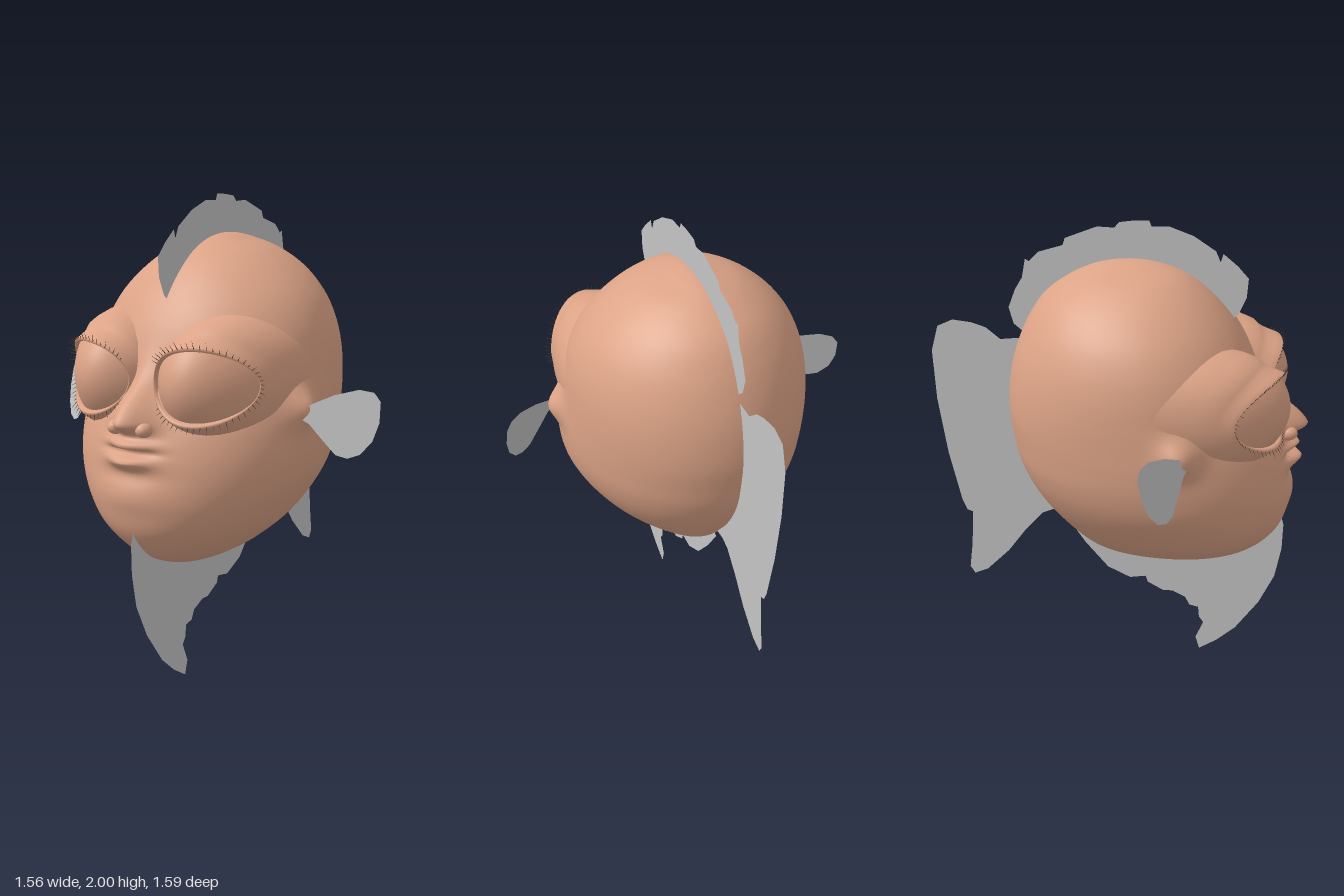
import * as THREE from 'three';
import { mergeGeometries } from 'three/addons/utils/BufferGeometryUtils.js';

const V = (x, y, z) => new THREE.Vector3(x, y, z);
const bell = (v, centre, width) => Math.exp(-(((v - centre) / width) ** 2));

// Smooth skin over closed rings of equal length
function loft(rings) {
  const n = rings[0].length, pos = [], index = [];
  rings.forEach(r => r.forEach(p => pos.push(p.x, p.y, p.z)));
  for (let i = 0; i < rings.length - 1; i++) {
    for (let j = 0; j < n; j++) {
      const k = (j + 1) % n, a = i * n, b = a + n;
      index.push(a + j, b + j, b + k, a + j, b + k, a + k);
    }
  }
  const g = new THREE.BufferGeometry();
  g.setAttribute('position', new THREE.Float32BufferAttribute(pos, 3));
  g.setIndex(index);
  g.computeVertexNormals();
  return g;
}

// Copy a part to the other side of x = 0 and restore the winding
function mirrored(geometry) {
  const g = geometry.clone().scale(-1, 1, 1), ix = g.index.array;
  for (let i = 0; i < ix.length; i += 3) [ix[i], ix[i + 1]] = [ix[i + 1], ix[i]];
  g.computeVertexNormals();
  return g;
}

// Flat outline placed in space by a rule
function sheet(points, place) {
  const g = new THREE.ShapeGeometry(new THREE.Shape(points.map(p => new THREE.Vector2(...p))));
  const p = g.attributes.position;
  for (let i = 0; i < p.count; i++) p.setXYZ(i, ...place(p.getX(i), p.getY(i)));
  g.computeVertexNormals();
  return g;
}

// Horizontal head sections: height, front z, back z, half width
const SECTIONS = [
  [1.843, .05, .05, 0], [1.838, .12, -.02, .035], [1.82, .2, -.1, .1], [1.78, .29, -.19, .215],
  [1.7, .39, -.3, .33], [1.6, .475, -.37, .42], [1.5, .535, -.415, .47], [1.4, .575, -.445, .495],
  [1.3, .605, -.46, .505], [1.2, .655, -.463, .51], [1.1, .70, -.45, .512], [1, .727, -.43, .505],
  [.9, .738, -.39, .48], [.8, .735, -.33, .43], [.7, .705, -.25, .355], [.6, .62, -.16, .235],
  [.55, .53, -.09, .155], [.51, .4, .02, .075], [.49, .28, .12, .03], [.485, .2, .2, 0],
];

function headGeometry() {
  const outline = new THREE.CatmullRomCurve3(SECTIONS.map(s => V(s[1], s[0], s[2])));
  const widths = new THREE.CatmullRomCurve3(SECTIONS.map(s => V(s[3], s[0], 0)));
  const rings = [], rows = 220, cols = 144;
  for (let i = 0; i <= rows; i++) {
    const { x: front, y, z: back } = outline.getPoint(i / rows);
    const w = Math.max(0, widths.getPoint(i / rows).x);
    const mid = back + .55 * (front - back), ring = [];
    for (let j = 0; j < cols; j++) {
      const a = j / cols * Math.PI * 2, c = Math.cos(a);
      let x = w * Math.sin(a);
      let z = mid + c * (c > 0 ? front - mid : mid - back);
      if (c > 0) {
        // nose: narrow bridge widening to a rounded tip with a short underside
        const ridge = y > 1.155 ? bell(y, 1.155, .14) : bell(y, 1.155, .045);
        z += .122 * ridge * bell(x, 0, y > 1.155 ? .05 + .03 * bell(y, 1.155, .1) : .08);
        // lips, mouth line and the fold over the chin
        z += (.055 * bell(y, 1.065, .02) + .055 * bell(y, 1.002, .028)
          - .03 * bell(y, 1.036, .012)) * bell(x, 0, .09);
        z += (.012 * bell(y, .86, .06) - .008 * bell(y, .94, .03)) * bell(x, 0, .15);
      }
      // swelling where the side fins root
      x += Math.sign(x) * .055 * bell(y, 1.19, .075) * bell(z, .28, .075) * (Math.abs(x) > .3 ? 1 : 0);
      ring.push(V(x, y, z));
    }
    rings.push(ring);
  }
  return loft(rings);
}

// Left eye: the opening is an ellipse wrapped back around the face
const EYE = { x: .255, y: 1.3, a: .19, b: .138 };
const eyeDepth = dx => .65 - .075 * (dx / EYE.a) - .105 * (dx / EYE.a) ** 2;
function eyePoint(u, scale, spread, lift) {
  const c = Math.cos(u), s = Math.sin(u), d = spread * (1 - .55 * c * c);
  const dx = EYE.a * scale * c;
  return V(EYE.x + dx + d * c, EYE.y + EYE.b * scale * s + d * s, eyeDepth(dx) + lift);
}
function eyeRing(scale, spread, lift, count = 64) {
  return Array.from({ length: count }, (_, j) => {
    const u = j / count * Math.PI * 2;
    return eyePoint(u, scale, spread, lift(Math.sin(u)));
  });
}
function eyeballGeometry() {
  const rings = [];
  for (let i = 0; i <= 14; i++) {
    const s = i / 14;
    rings.push(eyeRing(Math.max(s, .001), 0, () => .052 * (1 - s * s)));
  }
  return loft(rings);
}
function eyelidGeometry() {
  // spread from the opening, lift below, lift above
  const steps = [[-.004, -.01, -.01], [0, .012, .012], [.006, .022, .022], [.016, .022, .018],
    [.026, .008, -.01], [.04, -.015, -.045], [.055, -.04, -.07], [.075, -.09, -.09],
    [.095, -.15, -.14], [.115, -.23, -.22], [.125, -.3, -.3]];
  return loft(steps.map(([d, low, high]) =>
    eyeRing(1, d, s => THREE.MathUtils.lerp(low, high, (s + 1) / 2))));
}
function lashGeometry() {
  const hairs = [], up = V(0, 1, 0);
  for (let i = 0; i < 60; i++) {
    const u = (i + .5) / 60 * Math.PI * 2;
    if (Math.cos(u) < -.88) continue;
    const root = eyePoint(u, 1, .008, .018);
    const dir = V(Math.cos(u), Math.sin(u), .45).normalize();
    const length = .036 + .008 * Math.sin(i * 2.3);
    const hair = new THREE.ConeGeometry(.0022, length, 3).translate(0, length / 2, 0);
    hair.applyQuaternion(new THREE.Quaternion().setFromUnitVectors(up, dir));
    hairs.push(hair.translate(root.x, root.y, root.z));
  }
  return mergeGeometries(hairs);
}

// Fin outlines on the centre plane as z, y
const CREST = [[.45, 1.58], [.49, 1.62], [.52, 1.69], [.525, 1.77], [.48, 1.82], [.42, 1.87], [.41, 1.835],
  [.39, 1.88], [.3, 1.94], [.2, 1.977], [.13, 1.975], [.12, 2], [.06, 1.998], [0, 1.99], [-.02, 1.967],
  [-.09, 1.97], [-.22, 1.92], [-.23, 1.89], [-.33, 1.86], [-.37, 1.82], [-.385, 1.83], [-.4, 1.75],
  [-.43, 1.7], [-.46, 1.62], [-.44, 1.55], [-.405, 1.52], [-.3, 1.6], [-.15, 1.72], [.05, 1.78], [.25, 1.72]];
const TAIL = [[-.4, 1.49], [-.5, 1.48], [-.56, 1.53], [-.62, 1.55], [-.7, 1.56], [-.765, 1.53], [-.795, 1.42],
  [-.785, 1.2], [-.75, .95], [-.7, .72], [-.68, .67], [-.655, .66], [-.665, .5], [-.68, .38], [-.66, .345],
  [-.6, .37], [-.5, .47], [-.42, .58], [-.34, .67], [-.29, .69], [-.24, .69], [-.2, .76], [-.35, 1.2]];
const BEARD = [[.7, .74], [.722, .66], [.72, .54], [.695, .4], [.63, .26], [.53, .12], [.45, .05], [.37, 0],
  [.352, .06], [.385, .14], [.365, .17], [.36, .22], [.32, .23], [.3, .27], [.24, .3], [.2, .3], [.13, .34],
  [.12, .37], [.05, .36], [-.05, .41], [-.15, .53], [-.23, .65], [-.15, .7], [.2, .62], [.55, .66]];
// Side fin as x, y
const SIDE = [[.51, 1.19], [.56, 1.215], [.62, 1.245], [.7, 1.266], [.75, 1.255], [.775, 1.22], [.78, 1.14],
  [.765, 1.07], [.73, 1.02], [.69, 1.005], [.65, 1.018], [.6, 1.075], [.55, 1.135], [.51, 1.16]];

export function createModel() {
  const model = new THREE.Group();
  const skin = new THREE.MeshStandardMaterial({ color: 0xdca386 });
  skin.name = 'skin';
  const fin = new THREE.MeshStandardMaterial({ color: 0xc4c4c4, side: THREE.DoubleSide });
  fin.name = 'finGrey';
  const lash = new THREE.MeshStandardMaterial({ color: 0x4a342b });
  lash.name = 'lashBrown';
  const add = (name, geometry, material) => {
    const mesh = new THREE.Mesh(geometry, material);
    mesh.name = name;
    model.add(mesh);
  };
  const addPair = (name, geometry, material) => {
    add('left' + name, geometry, material);
    add('right' + name, mirrored(geometry), material);
  };

  add('head', headGeometry(), skin);
  addPair('Eyeball', eyeballGeometry(), skin);
  addPair('Eyelids', eyelidGeometry(), skin);
  addPair('Lashes', lashGeometry(), lash);
  addPair('Nostril', new THREE.SphereGeometry(1, 20, 14).scale(.032, .03, .04).translate(.068, 1.128, .715), skin);

  // Fins
  const onCentre = (z, y) => [0, y, z];
  add('crestFin', sheet(CREST, onCentre), fin);
  add('tailFin', sheet(TAIL, onCentre), fin);
  add('chinFin', sheet(BEARD, onCentre), fin);
  addPair('SideFin', sheet(SIDE, (x, y) => [x, y, .3 - .62 * (x - .55) - .25 * (y - 1.13)]), fin);
  return model;
}
